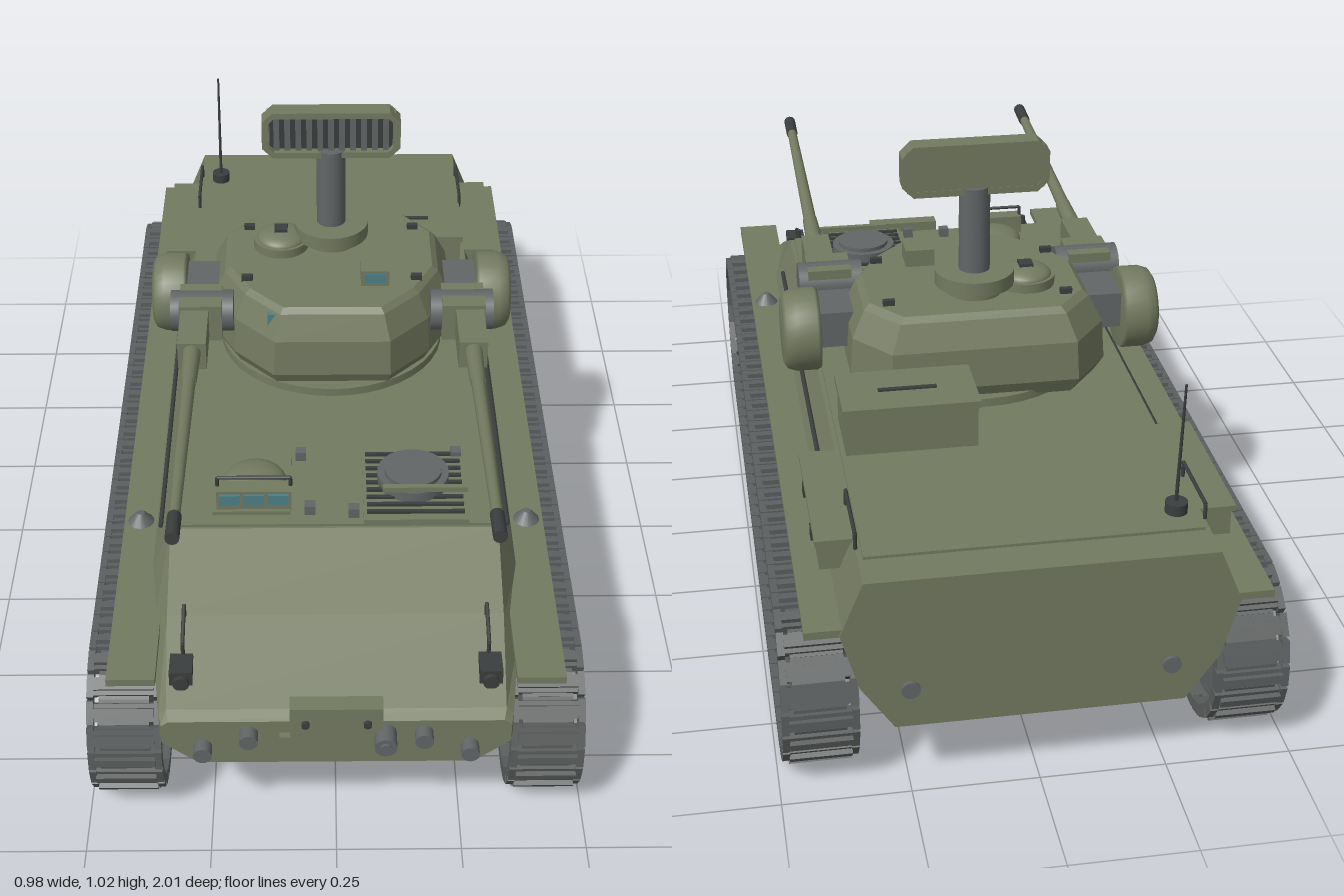
import * as THREE from 'three';
import { mergeGeometries } from 'three/addons/utils/BufferGeometryUtils.js';

const mat = (color, extra = {}) => new THREE.MeshStandardMaterial({ color, ...extra });
const green = mat(0x737a60), flatGreen = mat(0x737a60, { flatShading: true });
const steel = mat(0x626666), trackGrey = mat(0x5c5f5f), dark = mat(0x3b3e3e), glass = mat(0x4c7f88);

export function createModel() {
  const root = new THREE.Group();
  const add = (name, geo, m = green, parent = root) => {
    const mesh = new THREE.Mesh(geo, m);
    mesh.name = name;
    parent.add(mesh);
    return mesh;
  };
  const group = (name, parent = root) => {
    const g = new THREE.Group();
    g.name = name;
    parent.add(g);
    return g;
  };
  const box = (w, h, d, x = 0, y = 0, z = 0) => new THREE.BoxGeometry(w, h, d).translate(x, y, z);
  // Box given by its limits
  const span = (x0, x1, y0, y1, z0, z1) =>
    box(x1 - x0, y1 - y0, z1 - z0, (x0 + x1) / 2, (y0 + y1) / 2, (z0 + z1) / 2);
  const cylX = (r, w, x, y, z, n = 24) => new THREE.CylinderGeometry(r, r, w, n).rotateZ(-Math.PI / 2).translate(x, y, z);
  const cylY = (r, h, x, y, z, n = 28, rTop = r) => new THREE.CylinderGeometry(rTop, r, h, n).translate(x, y, z);
  const cylZ = (r, d, x, y, z, n = 18) => new THREE.CylinderGeometry(r, r, d, n).rotateX(Math.PI / 2).translate(x, y, z);
  const latheX = pts => new THREE.LatheGeometry(pts.map(p => new THREE.Vector2(...p)), 32).rotateZ(-Math.PI / 2);
  // Round bar between two points
  const rod = (a, b, r0, r1 = r0, n = 12) => {
    const A = new THREE.Vector3(...a), B = new THREE.Vector3(...b), d = B.clone().sub(A);
    const q = new THREE.Quaternion().setFromUnitVectors(new THREE.Vector3(0, 1, 0), d.clone().normalize());
    return new THREE.CylinderGeometry(r1, r0, d.length(), n).applyQuaternion(q).translate(...A.add(B).multiplyScalar(0.5).toArray());
  };
  // Bent handle through a list of points
  const handle = (pts, r = 0.004) => mergeGeometries(pts.slice(1).map((p, i) => rod(pts[i], p, r, r, 8)));
  // Skin over equal-length rings, closed at both ends
  const loft = rings => {
    const v = [], n = rings[0].length, tri = (...p) => p.forEach(q => v.push(...q));
    for (let i = 0; i + 1 < rings.length; i++) for (let j = 0; j < n; j++) {
      const k = (j + 1) % n, [a, b, c, d] = [rings[i][j], rings[i][k], rings[i + 1][k], rings[i + 1][j]];
      tri(a, b, c); tri(a, c, d);
    }
    const lo = rings[0], hi = rings[rings.length - 1];
    for (let j = 1; j + 1 < n; j++) { tri(lo[0], lo[j + 1], lo[j]); tri(hi[0], hi[j], hi[j + 1]); }
    const g = new THREE.BufferGeometry();
    g.setAttribute('position', new THREE.Float32BufferAttribute(v, 3));
    g.computeVertexNormals();
    return g;
  };

  // Hull: half sections (bottom, chine, shoulder, deck edge) mirrored and lofted along z
  const hullRing = (z, half) => [
    ...half.map(([x, y]) => [x, y, z]),
    ...half.slice().reverse().map(([x, y]) => [-x, y, z]),
  ];
  const main = [[0.28, 0.155], [0.345, 0.25], [0.38, 0.37], [0.335, 0.48]];
  add('hull', loft([
    hullRing(-1, main),
    hullRing(0.575, main),
    hullRing(0.75, [[0.28, 0.155], [0.345, 0.25], [0.368, 0.345], [0.335, 0.402]]),
    hullRing(0.93, [[0.265, 0.195], [0.345, 0.255], [0.345, 0.31], [0.33, 0.322]]),
    hullRing(0.952, [[0.27, 0.2], [0.34, 0.255], [0.34, 0.3], [0.325, 0.31]]),
  ]), flatGreen);
  add('deckPlate', span(-0.325, 0.325, 0.475, 0.486, -0.92, 0.57));
  add('rearBin', mergeGeometries([span(0.045, 0.315, 0.48, 0.58, -0.545, -0.39), span(0.04, 0.32, 0.575, 0.59, -0.55, -0.385)]));
  add('rearBinSlot', span(0.12, 0.24, 0.588, 0.594, -0.478, -0.468), dark);

  // Front fittings
  add('nosePlate', span(-0.09, 0.09, 0.28, 0.355, 0.93, 0.966));
  add('nosePlateBolts', mergeGeometries([-0.06, 0.06].map(x => cylZ(0.008, 0.012, x, 0.318, 0.968))), dark);
  add('towBar', span(-0.11, 0.09, 0.262, 0.28, 0.94, 0.965));
  add('towHitch', mergeGeometries([cylZ(0.022, 0.05, 0.095, 0.28, 0.97), cylZ(0.012, 0.06, 0.095, 0.28, 0.97)]), steel);
  add('noseCaps', mergeGeometries([[0.26, 0.245], [0.17, 0.28]].flatMap(([x, y]) => [-x, x].map(s => cylZ(0.018, 0.04, s, y, 0.96)))), steel);
  add('rearCaps', mergeGeometries([-0.25, 0.25].map(x => cylZ(0.018, 0.02, x, 0.24, -0.998))), steel);

  // Driver hatch with periscopes
  const hatch = group('driverHatch');
  add('hatchBase', span(-0.25, -0.09, 0.48, 0.495, 0.36, 0.54), green, hatch);
  const dome = (r, h, x, y, z) => new THREE.SphereGeometry(r, 28, 10, 0, Math.PI * 2, 0, Math.PI / 2).scale(1, h / r, 1).translate(x, y, z);
  add('hatchRing', cylY(0.073, 0.02, -0.165, 0.495, 0.45), green, hatch);
  add('hatchDome', dome(0.066, 0.03, -0.165, 0.504, 0.45), green, hatch);
  add('periscopeHousing', span(-0.242, -0.088, 0.49, 0.54, 0.495, 0.532), green, hatch);
  add('periscopeGlass', mergeGeometries([-0.215, -0.165, -0.115].map(x => box(0.042, 0.024, 0.012, x, 0.522, 0.532))), glass, hatch);
  add('hatchHandle', handle([[-0.24, 0.54, 0.51], [-0.24, 0.56, 0.51], [-0.09, 0.56, 0.51], [-0.09, 0.54, 0.51]]), dark, hatch);

  // Engine grille and round cover
  const grille = group('engineGrille');
  add('grilleFrame', span(0.06, 0.275, 0.48, 0.496, 0.335, 0.57), green, grille);
  add('grilleSlats', mergeGeometries(Array.from({ length: 9 }, (_, i) => box(0.2, 0.008, 0.008, 0.167, 0.498, 0.355 + i * 0.024))), dark, grille);
  add('grilleCover', mergeGeometries([cylY(0.075, 0.025, 0.165, 0.507, 0.44), cylY(0.06, 0.012, 0.165, 0.523, 0.44)]), steel, grille);
  add('coverRail', box(0.175, 0.012, 0.012, 0.187, 0.53, 0.51), green, grille);
  add('deckFittings', mergeGeometries([[-0.05, 0.53], [0.04, 0.54], [0.26, 0.35], [-0.07, 0.35]].map(([x, z]) => box(0.022, 0.025, 0.022, x, 0.495, z))), steel);

  // Antenna
  add('antennaBase', cylY(0.022, 0.025, -0.285, 0.496, -0.855), dark);
  add('antenna', rod([-0.285, 0.49, -0.85], [-0.285, 0.77, -0.876], 0.004, 0.0025, 8), dark);

  // Running gear: one link repeated around the loop
  const zf = 0.76, zr = -0.82, cy = 0.175, R = 0.155, L = zf - zr, arc = Math.PI * R, links = 84;
  const link = mergeGeometries([
    box(0.135, 0.02, 0.036), box(0.12, 0.014, 0.018, 0, 0.013, 0), // shoe, grouser
    box(0.014, 0.026, 0.046, 0.066, 0, 0), box(0.014, 0.026, 0.046, -0.066, 0, 0), // end connectors
    box(0.02, 0.03, 0.014, 0, -0.022, 0), box(0.1, 0.012, 0.05, 0, -0.004, 0), // guide horn, hinge
  ]);
  const placeLink = i => {
    let s = (i / links) * (2 * L + 2 * arc), z, t;
    if (s < L) { z = zr + s; t = 0; }
    else if ((s -= L) < arc) { z = zf; t = s / R; }
    else if ((s -= arc) < L) { z = zf - s; t = Math.PI; }
    else { z = zr; t = Math.PI + (s - L) / R; }
    return link.clone().rotateX(t).translate(0, cy + R * Math.cos(t), z + R * Math.sin(t));
  };
  const trackGeo = mergeGeometries(Array.from({ length: links }, (_, i) => placeLink(i)));
  const boltRing = (n, r, x, size) => mergeGeometries(Array.from({ length: n }, (_, i) => {
    const a = (i / n) * Math.PI * 2;
    return cylX(size, 0.008, x, r * Math.cos(a), r * Math.sin(a), 8);
  }));
  // Wheel profiles as [radius, position along the axle]
  const tyre = latheX([[0.07, -0.048], [0.098, -0.048], [0.105, -0.04], [0.105, 0.04], [0.098, 0.048], [0.07, 0.048]]);
  const dish = latheX([[0, -0.04], [0.04, -0.036], [0.062, -0.03], [0.068, -0.05], [0.076, -0.05], [0.076, 0.05],
    [0.068, 0.05], [0.06, 0.026], [0.036, 0.034], [0.03, 0.052], [0, 0.056]]);
  const wheelBolts = boltRing(8, 0.047, 0.036, 0.006);
  const bigDisc = latheX([[0, -0.05], [0.132, -0.05], [0.14, -0.042], [0.14, 0.042], [0.132, 0.05], [0, 0.054]]);
  const discBolts = mergeGeometries([boltRing(10, 0.1, 0.054, 0.006), boltRing(5, 0.045, 0.056, 0.006)]);

  for (const s of [-1, 1]) {
    const side = s > 0 ? 'left' : 'right';
    const gear = group(side + 'RunningGear');
    add('track', trackGeo, trackGrey, gear).position.x = s * 0.418;
    const wheel = (name, y, z, parts) => {
      const w = group(name, gear);
      w.position.set(s * 0.418, y, z);
      if (s < 0) w.rotation.y = Math.PI;
      parts.forEach(([n, g, m]) => add(n, g, m, w));
      add('axle', cylX(0.03, 0.1, -0.07, 0, 0), dark, w);
    };
    for (let i = 0; i < 6; i++) wheel('roadWheel', 0.147, 0.517 - i * 0.2176,
      [['tyre', tyre, dark], ['dish', dish, green], ['wheelBolts', wheelBolts, dark]]);
    for (const z of [zf, zr]) wheel(z > 0 ? 'frontSprocket' : 'rearIdler', cy + 0.005, z,
      [['disc', bigDisc, steel], ['discBolts', discBolts, dark]]);

    // Fenders, side bins and handles
    const X = (a, b) => (s > 0 ? [a, b] : [-b, -a]);
    add(side + 'Fender', span(...X(0.35, 0.445), 0.366, 0.382, -0.995, 0.91));
    add(side + 'FenderBrackets', mergeGeometries(Array.from({ length: 9 }, (_, i) => box(0.06, 0.03, 0.012, s * 0.38, 0.355, 0.7 - i * 0.2))));
    add(side + 'SideBin', mergeGeometries([span(...X(0.33, 0.4), 0.415, 0.472, -0.84, -0.51), span(...X(0.33, 0.408), 0.468, 0.48, -0.845, -0.505)]));
    add(side + 'BinLatches', mergeGeometries([-0.76, -0.6].map(z => box(0.012, 0.025, 0.025, s * 0.403, 0.45, z))), dark);
    add(side + 'BinRail', handle([-0.88, -0.72].map(z => [s * 0.335, 0.48, z]).flatMap((p, i) => {
      const up = [p[0], 0.512, p[2]];
      return i ? [up, p] : [p, up];
    })), dark);
    add(side + 'SideRail', rod([s * 0.362, 0.425, -0.45], [s * 0.362, 0.425, 0.5], 0.005), dark);
    add(side + 'FrontLamp', mergeGeometries([span(...X(0.28, 0.325), 0.325, 0.375, 0.83, 0.885), cylZ(0.016, 0.012, s * 0.302, 0.352, 0.888)]), dark);
    add(side + 'GlacisHandle', handle([[s * 0.3, 0.39, 0.75], [s * 0.3, 0.43, 0.75], [s * 0.3, 0.4, 0.83], [s * 0.3, 0.35, 0.83]]), dark);
    add(side + 'FenderLamp', cylY(0.034, 0.03, s * 0.41, 0.39, 0.43, 16, 0.008), steel);
  }

  // Turret: one plan outline scaled at several heights
  const turret = group('turret'), tz = -0.13;
  const plan = [[0.13, 0.105], [0.22, 0.01], [0.275, -0.1], [0.275, -0.28], [0.2, -0.375]];
  const outline = [...plan, ...plan.slice().reverse().map(([x, z]) => [-x, z])];
  add('turretRing', cylY(0.255, 0.03, 0, 0.49, tz, 40), green, turret);
  add('turretBody', loft([[0.495, 0.93], [0.53, 1], [0.615, 0.98], [0.672, 0.88], [0.684, 0.83]]
    .map(([y, k]) => outline.map(([x, z]) => [x * k, y, tz + (z - tz) * k]))), flatGreen, turret);
  add('commanderCupola', mergeGeometries([cylY(0.063, 0.026, -0.115, 0.692, -0.2), dome(0.056, 0.022, -0.115, 0.704, -0.2)]), green, turret);
  add('cupolaLatch', box(0.03, 0.012, 0.03, -0.115, 0.725, -0.2), dark, turret);
  add('sightHousing', span(0.065, 0.128, 0.68, 0.722, -0.085, -0.02), green, turret);
  add('sightGlass', span(0.074, 0.12, 0.694, 0.716, -0.03, -0.017), glass, turret);
  add('gunnerWindow', box(0.036, 0.026, 0.014, -0.125, 0.653, 0.042).translate(0, 0, 0.02), glass, turret);
  add('roofHooks', mergeGeometries([-1, 1].flatMap(s => [-0.27, -0.05].map(z => box(0.025, 0.016, 0.012, s * 0.19, 0.688, z)))), dark, turret);

  // Gun mounts with drums on both sides
  const drum = latheX([[0, -0.04], [0.086, -0.04], [0.09, -0.032], [0.09, 0.012], [0.083, 0.032], [0.07, 0.04], [0, 0.042]]);
  for (const s of [-1, 1]) {
    const gun = group(s > 0 ? 'leftGun' : 'rightGun', turret);
    add('trunnion', cylX(0.046, 0.14, s * 0.29, 0.628, -0.01), steel, gun);
    add('mantlet', span(...(s > 0 ? [0.245, 0.34] : [-0.34, -0.245]), 0.583, 0.672, -0.05, 0.045), green, gun);
    add('gunCradle', box(0.062, 0.066, 0.2, s * 0.305, 0.63, 0.075), green, gun);
    add('barrelSleeve', rod([s * 0.305, 0.636, 0.12], [s * 0.305, 0.648, 0.3], 0.021, 0.017), green, gun);
    add('barrel', rod([s * 0.305, 0.64, 0.17], [s * 0.305, 0.691, 0.83], 0.016, 0.011), green, gun);
    add('muzzleBrake', rod([s * 0.305, 0.687, 0.785], [s * 0.305, 0.693, 0.86], 0.014), dark, gun);
    add('drumLink', span(...(s > 0 ? [0.25, 0.345] : [-0.345, -0.25]), 0.56, 0.64, -0.2, -0.08), steel, gun);
    const d = add('ammunitionDrum', drum, green, gun);
    d.position.set(s * 0.37, 0.586, -0.155);
    if (s < 0) d.rotation.y = Math.PI;
  }

  // Radar on its mast
  const radar = group('radar', turret), rz = -0.222;
  add('mastBase', mergeGeometries([cylY(0.06, 0.03, 0, 0.695, rz), cylY(0.085, 0.032, 0, 0.72, rz)]), green, radar);
  add('mast', cylY(0.033, 0.2, 0, 0.825, rz), steel, radar);
  const octagon = (P, w, y0, y1, c) => {
    const p = new P();
    [[w - c, y0], [w, y0 + c], [w, y1 - c], [w - c, y1], [c - w, y1], [-w, y1 - c], [-w, y0 + c], [c - w, y0]]
      .forEach(([x, y], i) => (i ? p.lineTo(x, y) : p.moveTo(x, y)));
    p.closePath();
    return p;
  };
  const frame = octagon(THREE.Shape, 0.155, 0.91, 1.022, 0.024);
  frame.holes.push(octagon(THREE.Path, 0.14, 0.924, 1.008, 0.012));
  add('antennaFrame', new THREE.ExtrudeGeometry(frame, { depth: 0.045, bevelEnabled: false }).translate(0, 0, rz - 0.022), green, radar);
  add('antennaBack', span(-0.144, 0.144, 0.92, 1.012, rz - 0.021, rz), green, radar);
  add('antennaFace', span(-0.138, 0.138, 0.926, 1.006, rz - 0.002, rz + 0.006), dark, radar);
  add('antennaSlats', mergeGeometries(Array.from({ length: 11 }, (_, i) => box(0.013, 0.08, 0.012, (i - 5) * 0.0245, 0.966, rz + 0.01))), steel, radar);
  return root;
}
